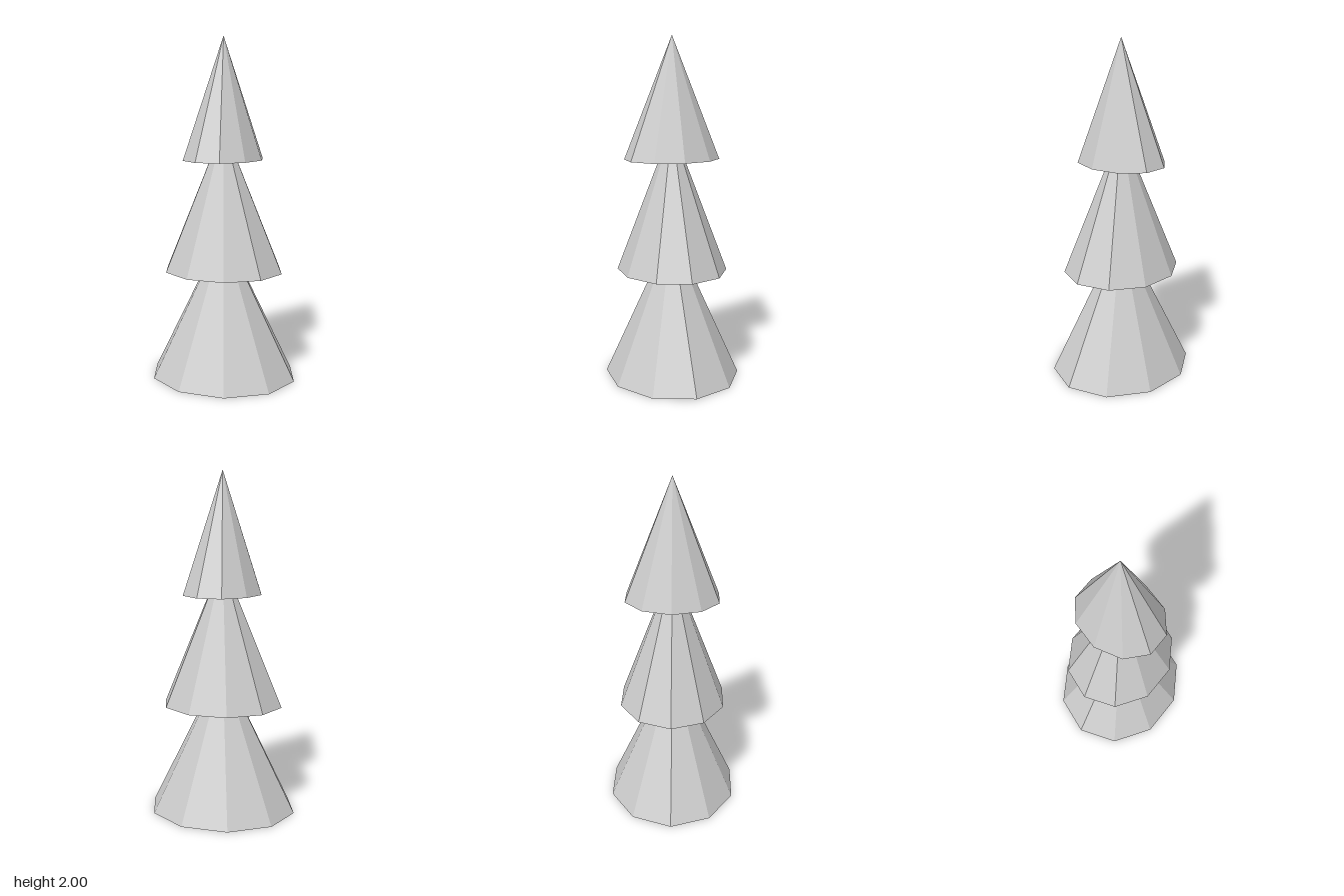
import * as THREE from 'three';

// Each tier: [name, base height, apex height, half-width in x, radius in z]
const TIERS = [
  ['lowerFoliage', 0, 0.88, 0.44, 0.394],
  ['middleFoliage', 0.64, 1.49, 0.358, 0.32],
  ['upperFoliage', 1.296, 2, 0.232, 0.281],
];

export function createModel() {
  const tree = new THREE.Group();
  tree.name = 'tree';
  const material = new THREE.MeshStandardMaterial({ color: 0xcccccc, flatShading: true });

  // Stacked ten-sided cones, slightly oval, with a corner on the x axis
  for (const [name, base, apex, rx, rz] of TIERS) {
    const height = apex - base;
    const geometry = new THREE.ConeGeometry(1, height, 10, 1, false, Math.PI / 2);
    geometry.scale(rx, 1, rz);
    geometry.translate(0, base + height / 2, 0);
    const tier = new THREE.Mesh(geometry, material);
    tier.name = name;
    tree.add(tier);
  }
  return tree;
}
